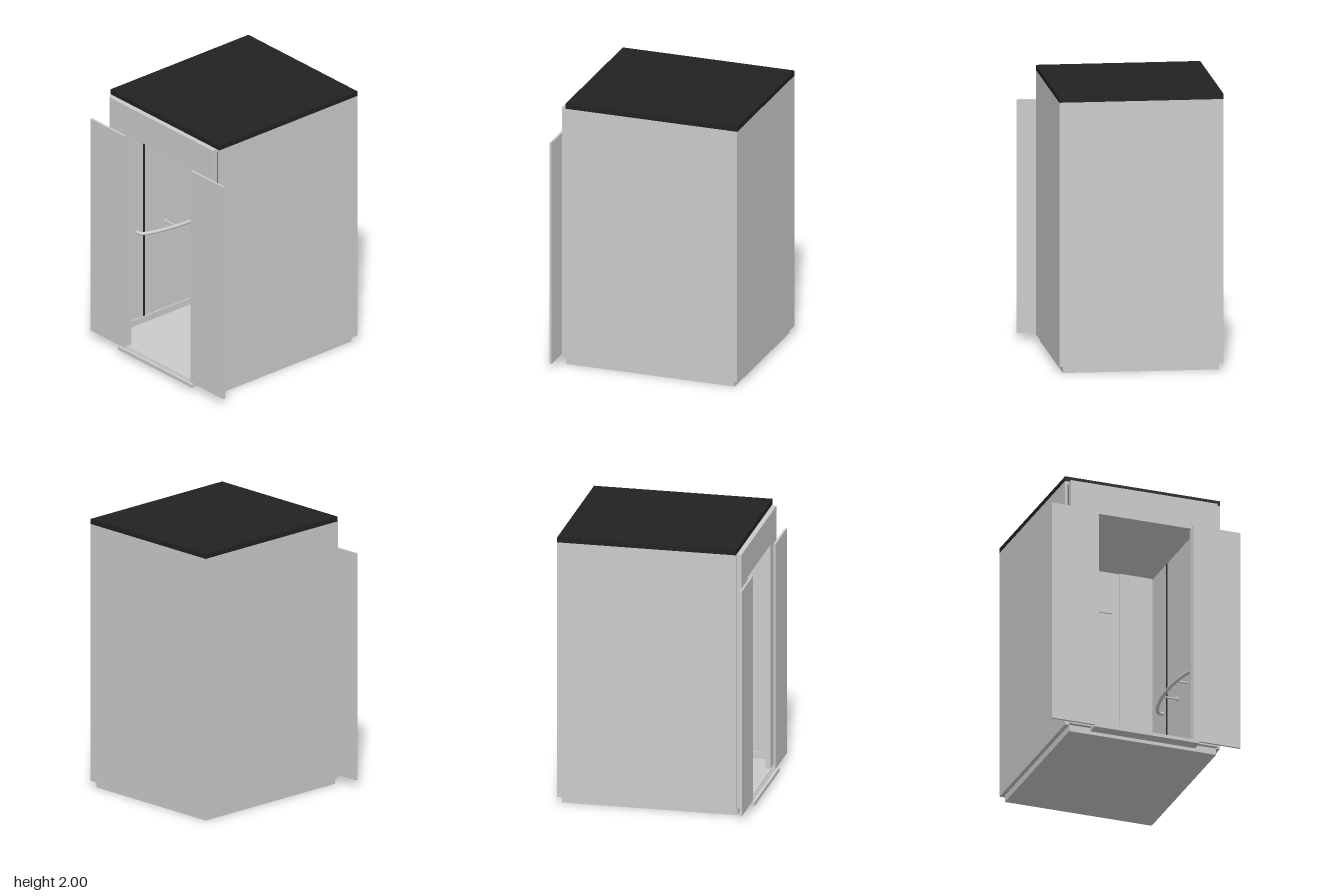
import * as THREE from 'three';

export function createModel() {
  const model = new THREE.Group();
  const grey = new THREE.MeshStandardMaterial({ color: 0xcccccc });
  const dark = new THREE.MeshStandardMaterial({ color: 0x222222 });

  const add = (name, geometry, material = grey) => {
    const mesh = new THREE.Mesh(geometry, material);
    mesh.name = name;
    model.add(mesh);
    return mesh;
  };
  // Box given by its limits on each axis
  const box = (name, x0, x1, y0, y1, z0, z1, material) => {
    const mesh = add(name, new THREE.BoxGeometry(x1 - x0, y1 - y0, z1 - z0), material);
    mesh.position.set((x0 + x1) / 2, (y0 + y1) / 2, (z0 + z1) / 2);
    return mesh;
  };
  // The same box on the left (+x) and right (-x)
  const pair = (name, x0, x1, ...rest) => {
    box(name + 'Left', x0, x1, ...rest);
    box(name + 'Right', -x1, -x0, ...rest);
  };

  const midZ = -0.045;

  // Cabin shell
  box('floorBase', -0.56, 0.56, 0, 0.05, -0.67, 0.61);
  box('roof', -0.59, 0.59, 1.963, 2, -0.7, 0.605, dark);
  box('ceiling', -0.57, 0.57, 1.94, 1.963, -0.68, 0.605);
  pair('sideWall', 0.57, 0.59, 0.05, 1.963, -0.7, 0.605);
  box('backWall', -0.57, 0.57, 0.05, 1.963, -0.7, -0.68);

  // Front plate with the doorway cut out
  const plate = new THREE.Shape([
    [-0.56, 0.05], [-0.36, 0.05], [-0.36, 1.73], [0.36, 1.73],
    [0.36, 0.05], [0.56, 0.05], [0.56, 1.96], [-0.56, 1.96],
  ].map(([x, y]) => new THREE.Vector2(x, y)));
  add('frontPlate', new THREE.ExtrudeGeometry(plate, { depth: 0.035, bevelEnabled: false }))
    .position.z = 0.605;

  // Open sliding doors
  pair('door', 0.36, 0.72, 0.05, 1.74, 0.663, 0.679);

  // Grooved door sill
  box('sill', -0.4, 0.4, 0.025, 0.042, 0.61, 0.7);
  for (const [z0, z1] of [[0.61, 0.65], [0.656, 0.667], [0.675, 0.7]]) {
    box('sillRidge', -0.4, 0.4, 0.042, 0.05, z0, z1);
  }

  // Wall lining: skirting and seam strips
  pair('skirting', 0.56, 0.57, 0.05, 0.1, -0.68, 0.605);
  for (const s of [-1, 1]) {
    const z = midZ + s * 0.35;
    pair('sideSeam', 0.566, 0.57, 0.1, 1.94, z - 0.008, z + 0.008, dark);
  }
  pair('backLining', 0.315, 0.56, 0.05, 1.94, -0.68, -0.67);

  // Back panel with a rounded top bar
  box('backPanel', -0.26, 0.26, 0.05, 1.62, -0.68, -0.67);
  const bar = new THREE.Shape();
  const r = 0.012;
  bar.moveTo(-0.26 + r, 1.61);
  bar.lineTo(0.26 - r, 1.61);
  bar.absarc(0.26 - r, 1.61 + r, r, -Math.PI / 2, 0);
  bar.absarc(0.26 - r, 1.645 - r, r, 0, Math.PI / 2);
  bar.absarc(-0.26 + r, 1.645 - r, r, Math.PI / 2, Math.PI);
  bar.absarc(-0.26 + r, 1.61 + r, r, Math.PI, Math.PI * 1.5);
  add('backPanelBar', new THREE.ExtrudeGeometry(bar, { depth: 0.02, bevelEnabled: false }))
    .position.z = -0.68;

  // Bowed handrails with brackets on both side walls
  for (const s of [-1, 1]) {
    const path = new THREE.CatmullRomCurve3([
      [0.57, -0.42], [0.535, -0.415], [0.505, -0.37], [0.465, -0.2], [0.45, 0],
      [0.465, 0.2], [0.505, 0.37], [0.535, 0.415], [0.57, 0.42],
    ].map(([x, z]) => new THREE.Vector3(s * x, 0.79, midZ + z)));
    add('handrail', new THREE.TubeGeometry(path, 64, 0.013, 12));
    for (const dz of [-0.14, 0.14]) {
      const stem = add('handrailBracket', new THREE.CylinderGeometry(0.007, 0.007, 0.115, 12));
      stem.rotation.z = Math.PI / 2;
      stem.position.set(s * 0.515, 0.785, midZ + dz);
      const rose = add('handrailRose', new THREE.CylinderGeometry(0.018, 0.018, 0.012, 20));
      rose.rotation.z = Math.PI / 2;
      rose.position.set(s * 0.564, 0.785, midZ + dz);
    }
  }

  return model;
}
